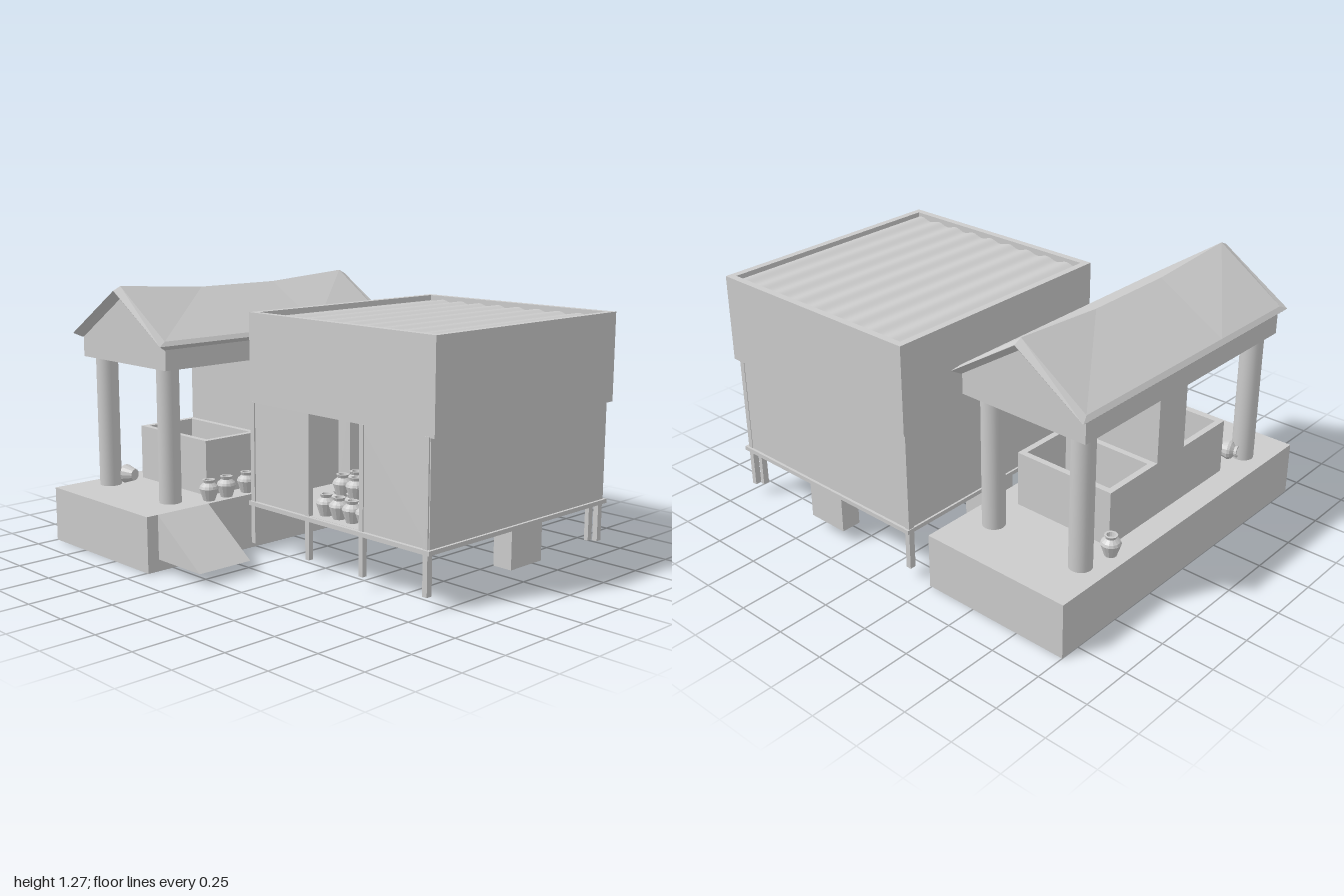
import * as THREE from 'three';

const mat = new THREE.MeshStandardMaterial({ color: 0xcccccc, side: THREE.DoubleSide });
const flat = new THREE.MeshStandardMaterial({ color: 0xcccccc, side: THREE.DoubleSide, flatShading: true });

function add(parent, name, geo, material = mat) {
  const m = new THREE.Mesh(geo, material);
  m.name = name;
  parent.add(m);
  return m;
}

// Box given by its extents
function box(parent, name, x0, x1, y0, y1, z0, z1) {
  const m = add(parent, name, new THREE.BoxGeometry(x1 - x0, y1 - y0, z1 - z0));
  m.position.set((x0 + x1) / 2, (y0 + y1) / 2, (z0 + z1) / 2);
  return m;
}

function rect(P, x0, x1, y0, y1) {
  const p = new P();
  p.moveTo(x0, y0);
  p.lineTo(x1, y0);
  p.lineTo(x1, y1);
  p.lineTo(x0, y1);
  p.closePath();
  return p;
}

const extrude = (shape, depth) => new THREE.ExtrudeGeometry(shape, { depth, bevelEnabled: false });

// Hollow rectangular frame standing upright, open at top and bottom
function frame(parent, name, x0, x1, y0, y1, z0, z1, t) {
  const s = rect(THREE.Shape, x0, x1, -z1, -z0);
  s.holes.push(rect(THREE.Path, x0 + t, x1 - t, -z1 + t, -z0 - t));
  const geo = extrude(s, y1 - y0);
  geo.rotateX(-Math.PI / 2);
  geo.translate(0, y0, 0);
  return add(parent, name, geo);
}

const jarGeo = new THREE.LatheGeometry(
  [[0, 0], [0.028, 0], [0.047, 0.058], [0.042, 0.07], [0.024, 0.085], [0.03, 0.1], [0.02, 0.1], [0.016, 0.08], [0, 0.08]]
    .map(([r, y]) => new THREE.Vector2(r, y)), 14);

function jar(parent, x, y, z) {
  const m = add(parent, 'jar', jarGeo, flat);
  m.position.set(x, y, z);
  return m;
}

// Gabled roof with a sagging ridge and bevelled rim, lofted along z
function gableRoof() {
  const section = (z, top) => [[0, top], [0.335, 1.04], [0.352, 1.02], [0.33, 1.0], [0, 1.215], [-0.33, 1.0], [-0.352, 1.02], [-0.335, 1.04]]
    .map(([x, y]) => [x, y, z]);
  const lip = z => [[0, 1.248], [0.352, 1.02], [0.352, 1.02], [0.352, 1.02], [0, 1.246], [-0.352, 1.02], [-0.352, 1.02], [-0.352, 1.02]]
    .map(([x, y]) => [x, y, z]);
  const rings = [lip(-0.715), section(-0.675, 1.267), section(-0.2, 1.235), section(0.26, 1.235), section(0.735, 1.267), lip(0.775)];
  const n = rings[0].length, index = [];
  for (let i = 0; i < rings.length - 1; i++)
    for (let j = 0; j < n; j++) {
      const a = i * n + j, b = i * n + (j + 1) % n, c = b + n, d = a + n;
      index.push(a, d, c, a, c, b);
    }
  const g = new THREE.BufferGeometry();
  g.setAttribute('position', new THREE.Float32BufferAttribute(rings.flat(2), 3));
  g.setIndex(index);
  g.computeVertexNormals();
  return g;
}

function pavilion() {
  const g = new THREE.Group();
  g.name = 'pavilion';
  const cx = -0.62;

  // Platform, hollow underneath
  frame(g, 'platformWalls', -1, -0.24, 0, 0.255, -0.85, 0.89, 0.002);
  box(g, 'platformTop', -1, -0.24, 0.255, 0.265, -0.85, 0.89);

  // Ramp
  const wedge = new THREE.Shape([[-0.24, 0.055], [0.06, 0.055], [-0.24, 0.265]].map(p => new THREE.Vector2(...p)));
  add(g, 'ramp', extrude(wedge, 0.29)).position.z = 0.54;

  // Columns
  for (const x of [-0.878, -0.388])
    for (const z of [-0.59, 0.648])
      add(g, 'column', new THREE.CylinderGeometry(0.053, 0.053, 0.64, 24)).position.set(x, 0.585, z);

  // Beam and pediment
  const pediment = new THREE.Shape([[-0.33, 0.905], [0.33, 0.905], [0.33, 1.0], [0, 1.215], [-0.33, 1.0]]
    .map(p => new THREE.Vector2(...p)));
  add(g, 'pediment', extrude(pediment, 1.4)).position.set(cx, 0, -0.67);

  add(g, 'gableRoof', gableRoof(), flat).position.x = cx;

  // Central wall with an open tub on each side
  box(g, 'centreWall', -0.88, -0.36, 0.265, 0.905, -0.07, 0.13);
  frame(g, 'frontTub', -0.88, -0.36, 0.265, 0.532, 0.13, 0.455, 0.03);
  frame(g, 'backTub', -0.88, -0.36, 0.265, 0.532, -0.4, -0.07, 0.03);

  // Jars
  for (const z of [0.17, 0.265, 0.39, 0.495]) jar(g, -0.29, 0.265, z);
  jar(g, -0.92, 0.265, -0.44);
  const lying = jar(g, -0.79, 0.312, 0.565);
  lying.rotation.set(0, 0.25, Math.PI / 2);
  return g;
}

function house() {
  const g = new THREE.Group();
  g.name = 'storehouse';
  const x0 = -0.14, x1 = 0.975, z0 = -0.872, z1 = 0.35, t = 0.02;

  box(g, 'floor', -0.15, 0.988, 0.245, 0.265, -0.885, 0.368);

  // Lower walls, the front one with a doorway
  const front = rect(THREE.Shape, x0, x1, 0.265, 0.74);
  front.holes.push(rect(THREE.Path, 0.25, 0.57, 0.266, 0.735));
  add(g, 'frontWall', extrude(front, t)).position.z = z1 - t;
  box(g, 'backWall', x0, x1, 0.265, 0.74, z0, z0 + t);
  box(g, 'leftWall', x1 - t, x1, 0.265, 0.74, z0, z1);
  box(g, 'rightWall', x0, x0 + t, 0.265, 0.74, z0, z1);

  // Upper walls rising to a parapet
  frame(g, 'upperWalls', -0.15, 0.998, 0.735, 1.155, -0.885, 0.355, 0.034);

  // Corrugated roof inside the parapet
  const roof = new THREE.PlaneGeometry(1.09, 1.18, 108, 1);
  roof.rotateX(-Math.PI / 2);
  const p = roof.attributes.position;
  for (let i = 0; i < p.count; i++) p.setY(i, 0.007 * Math.sin((p.getX(i) / 1.09) * Math.PI * 2 * 9));
  roof.computeVertexNormals();
  add(g, 'corrugatedRoof', roof).position.set(0.424, 1.13, -0.265);

  // Corner and door posts running down to the feet
  for (const x of [-0.133, 0.957])
    for (const z of [-0.86, 0.342])
      box(g, 'cornerPost', x - 0.013, x + 0.013, 0.06, 0.74, z - 0.015, z + 0.015);
  for (const x of [0.24, 0.582]) box(g, 'doorPost', x - 0.012, x + 0.012, 0.06, 0.735, 0.33, 0.356);
  for (const x of [-0.105, 0.925]) box(g, 'innerLeg', x - 0.011, x + 0.011, 0.06, 0.25, -0.85, -0.82);

  // Shafts against the back and side walls, reaching below the floor
  box(g, 'backShaft', 0.305, 0.52, 0.06, 0.74, z0, z0 + 0.1);
  box(g, 'leftShaft', x1 - 0.1, x1, 0.06, 0.74, -0.405, -0.19);
  box(g, 'rightShaft', x0, x0 + 0.1, 0.06, 0.74, -0.405, -0.19);

  // Jars stacked in tiers behind the doorway
  for (let row = 0; row < 3; row++)
    for (let level = 0; level <= Math.min(row, 1); level++)
      for (let i = 0; i < 4; i++)
        jar(g, 0.285 + i * 0.084 + (level ? 0.02 : 0), 0.265 + level * 0.08, 0.28 - row * 0.085);
  return g;
}

export function createModel() {
  const model = new THREE.Group();
  model.name = 'pavilionAndStorehouse';
  model.add(pavilion(), house());
  return model;
}
